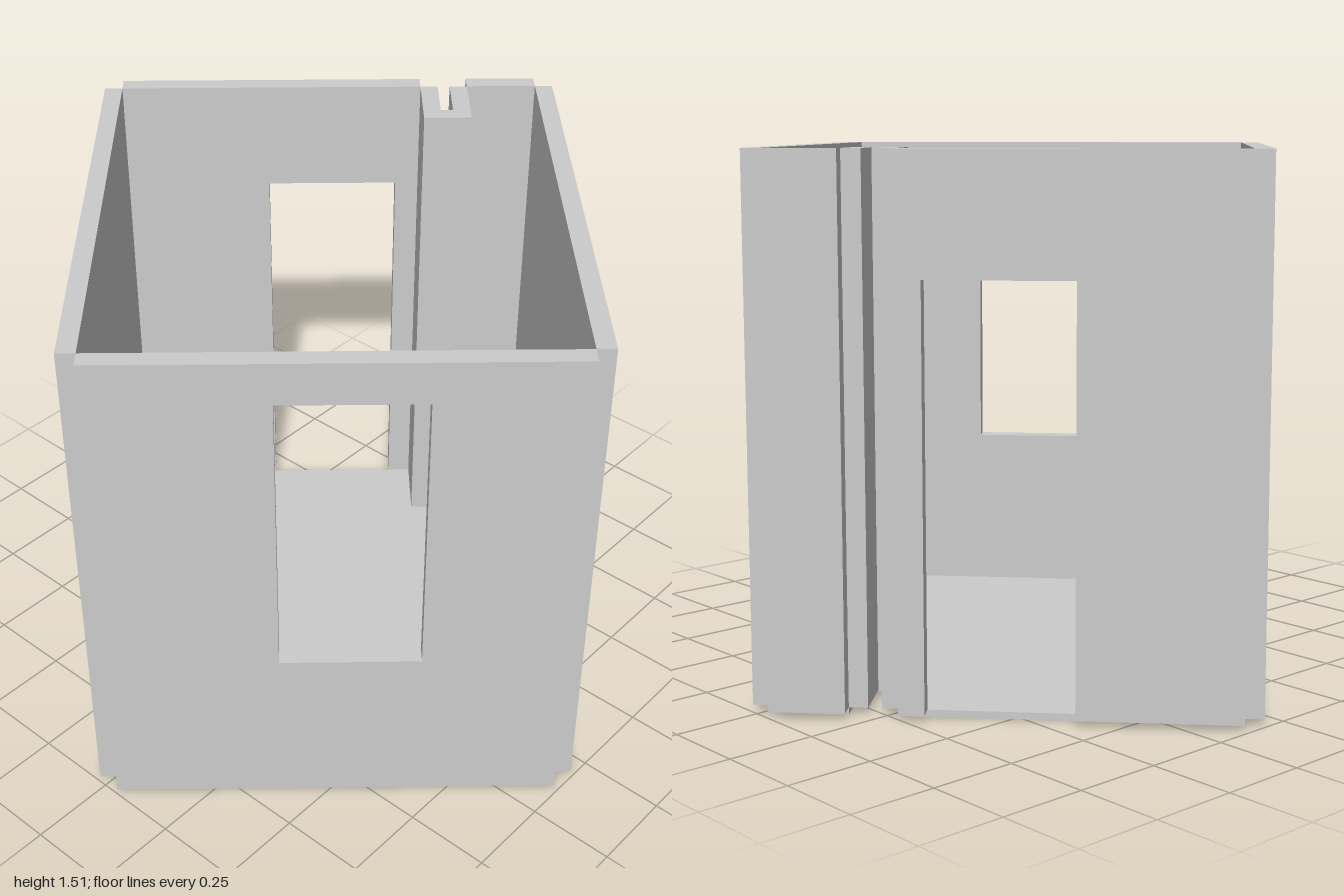
import * as THREE from 'three';

const FLOOR = 0.02, WALL_H = 1.494, THICK = 0.053;
const U = 0.723, V = 0.635; // half sizes of the room
const N0 = -0.425, N1 = -0.282, ND = -0.512; // recess sides and its depth

// Room outline (x, z); walls stand outside each edge
const outline = [
  { name: 'windowWall', at: [U, V], window: [0.478, 0.87, 0.5, 1.37] },
  { name: 'longWallBack', at: [U, -V] },
  { name: 'doorSideWallShort', at: [-U, -V] },
  { name: 'recessSideA', at: [-U, N0] },
  { name: 'recessBack', at: [ND, N0] },
  { name: 'recessSideB', at: [ND, N1] },
  { name: 'doorWall', at: [-U, N1], door: [0.071, 0.472, 1.16] },
  { name: 'longWallFront', at: [-U, V] },
];

const material = new THREE.MeshStandardMaterial({ color: 0xcccccc });

function polygon(points, Type = THREE.Shape) {
  return new Type(points.map(([x, y]) => new THREE.Vector2(x, y)));
}

// One wall panel from corner a to corner b, thickened outward
function makeWall({ name, at: a, window: win, door }, b) {
  const dx = b[0] - a[0], dz = b[1] - a[1], len = Math.hypot(dx, dz);
  const points = [[0, 0]];
  if (door) {
    const [s0, s1, top] = door;
    points.push([s0, 0], [s0, top], [s1, top], [s1, 0]);
  }
  points.push([len, 0], [len, WALL_H], [0, WALL_H]);
  const shape = polygon(points);
  if (win) {
    const [s0, s1, y0, y1] = win;
    shape.holes.push(polygon([[s0, y0], [s0, y1], [s1, y1], [s1, y0]], THREE.Path));
  }
  const geometry = new THREE.ExtrudeGeometry(shape, { depth: THICK, bevelEnabled: false });
  const wall = new THREE.Mesh(geometry, material);
  wall.name = name;
  wall.position.set(a[0], FLOOR, a[1]);
  wall.rotation.y = Math.atan2(-dz, dx);
  return wall;
}

export function createModel() {
  const group = new THREE.Group();
  group.name = 'room';

  // Floor slab with the recess cut out
  const slab = new THREE.ExtrudeGeometry(
    polygon(outline.map(({ at }) => [at[0], -at[1]])),
    { depth: FLOOR, bevelEnabled: false });
  slab.rotateX(-Math.PI / 2);
  const floor = new THREE.Mesh(slab, material);
  floor.name = 'floor';
  group.add(floor);

  // Walls around the outline
  outline.forEach((edge, i) => {
    group.add(makeWall(edge, outline[(i + 1) % outline.length].at));
  });

  // The whole room stands turned on the ground
  group.rotation.y = -0.832;
  const model = new THREE.Group();
  model.name = 'model';
  model.add(group);
  return model;
}
